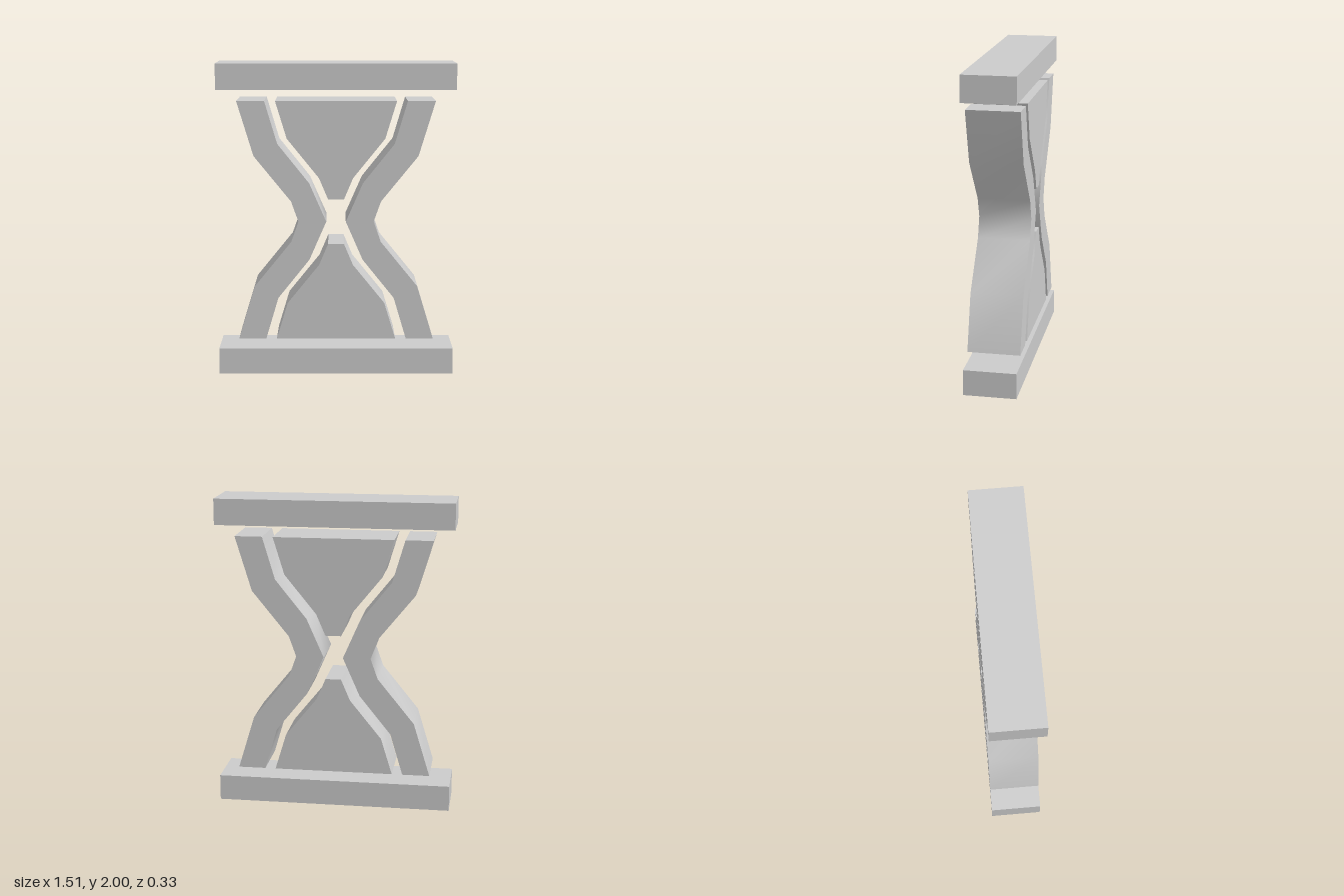
import * as THREE from 'three';
import { toCreasedNormals } from 'three/addons/utils/BufferGeometryUtils.js';

const DEPTH = 0.334;
const MID = 1; // height of the waist

export function createModel() {
  const group = new THREE.Group();
  group.name = 'hourglass';
  const material = new THREE.MeshStandardMaterial({ color: 0xcccccc });

  const add = (name, geometry, y = 0) => {
    const mesh = new THREE.Mesh(geometry, material);
    mesh.name = name;
    mesh.position.y = y;
    group.add(mesh);
  };

  // Extrude an outline of [x, height above waist], optionally mirrored by sx and sy
  const plate = (points, sx = 1, sy = 1) => {
    const shape = new THREE.Shape(points.map(([x, y]) => new THREE.Vector2(x * sx, y * sy)));
    const geometry = new THREE.ExtrudeGeometry(shape, { depth: DEPTH, bevelEnabled: false });
    geometry.translate(0, 0, -DEPTH / 2);
    return toCreasedNormals(geometry, 0.9);
  };

  // Bottom and top slabs
  const slabHeight = 0.166;
  add('base', new THREE.BoxGeometry(1.51, slabHeight, DEPTH), slabHeight / 2);
  add('cap', new THREE.BoxGeometry(1.51, slabHeight, DEPTH), 2 - slabHeight / 2);

  // Bent side walls: outer edge going up, inner edge coming down
  const outer = [[0.625, 0.767], [0.52, 0.42], [0.285, 0.13], [0.239, 0]];
  const inner = [[0.45, 0.767], [0.37, 0.497], [0.17, 0.247], [0.062, 0]];
  const fullEdge = (half) => [
    ...half.map(([x, y]) => [x, -y]),
    ...half.slice(0, -1).reverse(),
  ];
  const wall = [...fullEdge(outer), ...fullEdge(inner).reverse()];
  add('leftWall', plate(wall), MID);
  add('rightWall', plate(wall, -1), MID);

  // Sand in the upper and lower chambers
  const sandEdge = [[0.05, 0.143], [0.108, 0.28], [0.31, 0.53], [0.382, 0.767]];
  const sand = [...sandEdge, ...sandEdge.map(([x, y]) => [-x, y]).reverse()];
  add('upperSand', plate(sand), MID);
  add('lowerSand', plate(sand, 1, -1), MID);

  return group;
}
